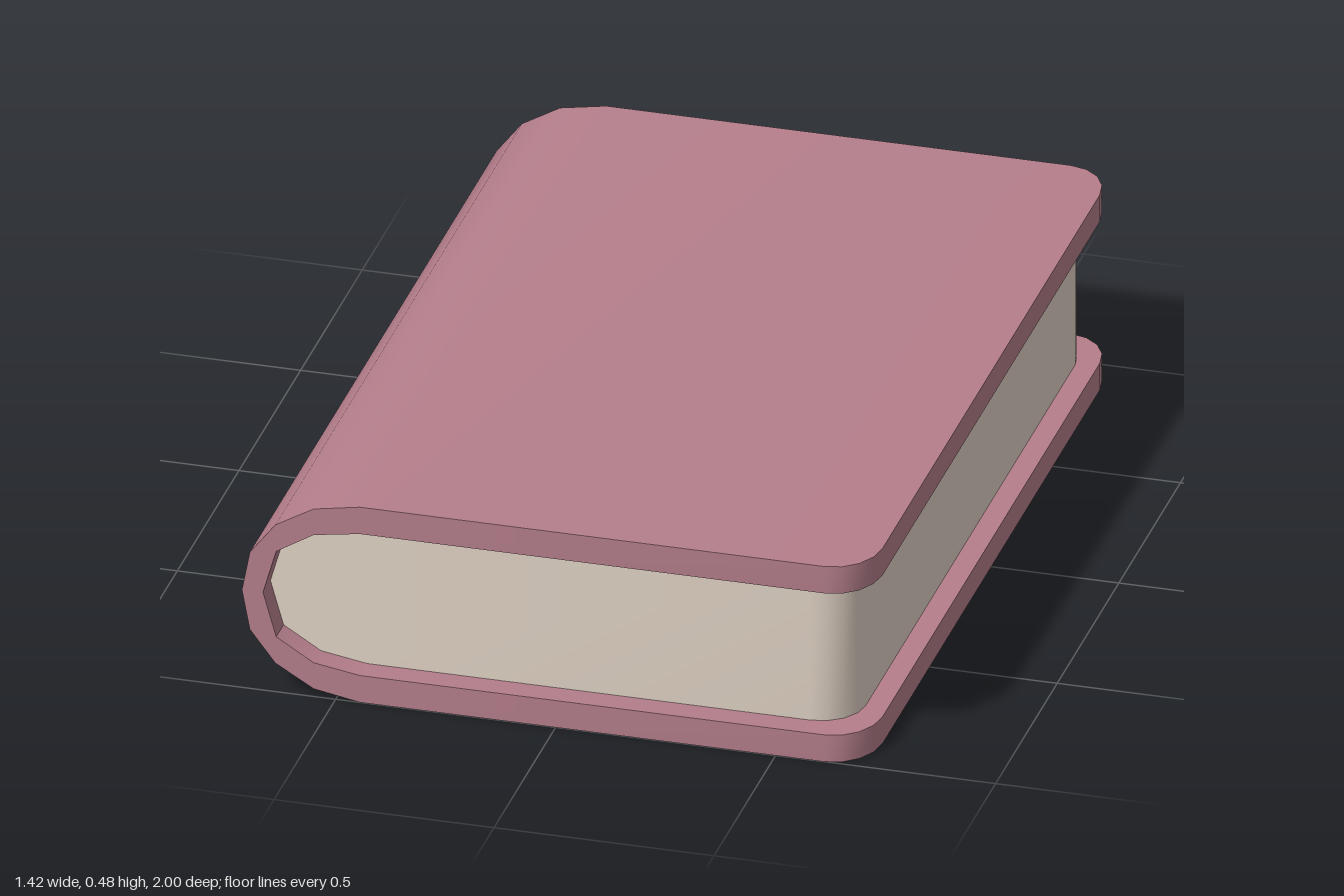
import * as THREE from 'three';
import { toCreasedNormals } from 'three/addons/utils/BufferGeometryUtils.js';

// Joins four-cornered sections { outer: [x, y], inner: [x, y], front, back } into a closed solid.
function loft(sections) {
  const rings = sections.map(({ outer, inner, front, back }) => [
    [...outer, front], [...outer, back], [...inner, back], [...inner, front],
  ]);
  const positions = [];
  const quad = (a, b, c, d) => positions.push(...a, ...b, ...c, ...a, ...c, ...d);
  for (let i = 0; i < rings.length - 1; i++) {
    const r = rings[i], s = rings[i + 1];
    for (let k = 0; k < 4; k++) {
      const n = (k + 1) % 4;
      quad(r[k], s[k], s[n], r[n]);
    }
  }
  quad(...rings[0]);
  quad(...[...rings[rings.length - 1]].reverse());
  const geometry = new THREE.BufferGeometry();
  geometry.setAttribute('position', new THREE.Float32BufferAttribute(positions, 3));
  return toCreasedNormals(geometry, 0.65);
}

// Rounded fore-edge corner as [x, inset in z] steps.
function cornerSteps(endX, rx, rz, steps = 4) {
  return Array.from({ length: steps + 1 }, (_, i) => {
    const a = (i / steps) * Math.PI / 2;
    return [endX - rx + rx * Math.sin(a), rz * (1 - Math.cos(a))];
  });
}

export function createModel() {
  const book = new THREE.Group();
  book.name = 'book';
  const add = (name, geometry, color) => {
    const mesh = new THREE.Mesh(geometry, new THREE.MeshStandardMaterial({ color }));
    mesh.name = name;
    book.add(mesh);
  };
  const middle = 0.24;

  // Cover: one strip running along the top board, mirrored for the lower half.
  // Spine points: outer x, height above middle, inner x, height above middle.
  const spine = [
    [-0.695, 0.095, -0.65, 0.053],
    [-0.637, 0.17, -0.635, 0.105],
    [-0.55, 0.221, -0.55, 0.157],
    [-0.445, 0.24, -0.445, 0.174],
  ];
  const board = cornerSteps(0.71, 0.1, 0.12);
  const upper = [
    ...spine.map((p) => [...p, 0]),
    ...board.map(([x, inset]) => [x, 0.24, x, 0.174, inset]),
  ];
  const section = ([ox, oy, ix, iy, inset], side) => ({
    outer: [ox, middle + side * oy],
    inner: [ix, middle + side * iy],
    front: 1 - inset,
    back: inset - 1,
  });
  const cover = [
    ...[...upper].reverse().map((p) => section(p, -1)),
    section([-0.713, 0, -0.665, 0, 0], 1),
    ...upper.map((p) => section(p, 1)),
  ];
  add('cover', loft(cover), 0xb47e8b);

  // Page block: fills the inside of the cover, with rounded fore-edge corners.
  const pageSteps = [
    [-0.665, 0.001, 0],
    ...spine.map(([, , x, h]) => [x, h, 0]),
    ...cornerSteps(0.66, 0.1, 0.1).map(([x, inset]) => [x, 0.174, inset]),
  ];
  const pages = pageSteps.map(([x, h, inset]) => ({
    outer: [x, middle + h],
    inner: [x, middle - h],
    front: 0.94 - inset,
    back: inset - 0.96,
  }));
  add('pages', loft(pages), 0xe0d2c4);

  return book;
}
